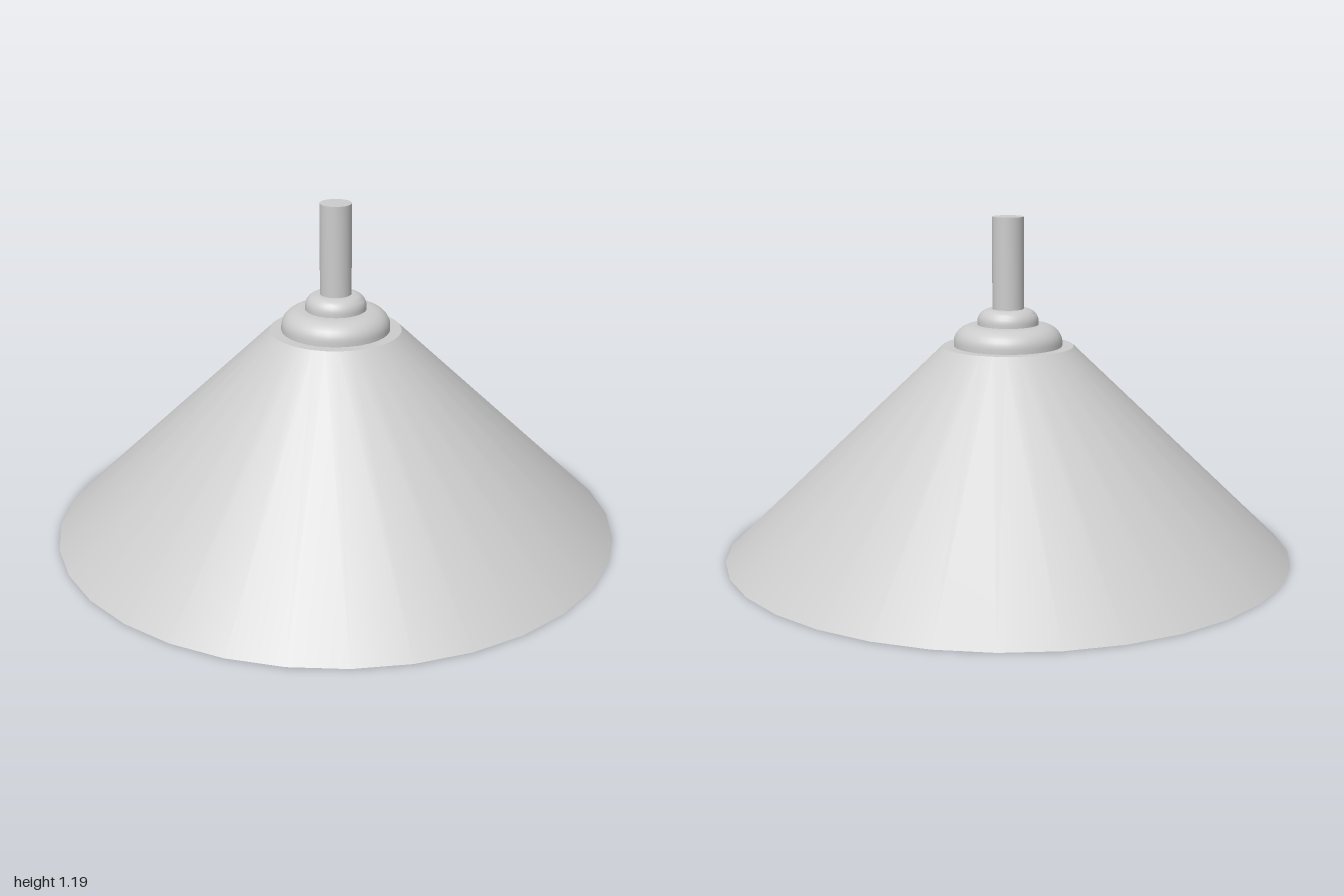
import * as THREE from 'three';
import { toCreasedNormals } from 'three/addons/utils/BufferGeometryUtils.js';

const material = new THREE.MeshStandardMaterial({ color: 0xcccccc });

// Turned part from a closed [radius, height] profile, listed from the lower axis outwards and up
function turned(name, profile, sides = 32) {
  const points = profile.map(([r, y]) => new THREE.Vector2(r, y));
  const geometry = toCreasedNormals(new THREE.LatheGeometry(points, sides), 0.6);
  const mesh = new THREE.Mesh(geometry, material);
  mesh.name = name;
  return mesh;
}

// Flat-topped disc with a rounded shoulder
function roundedCap(name, radius, bottom, top, shoulder) {
  const profile = [[0, bottom], [radius, bottom]];
  const start = bottom + (top - bottom) * 0.2;
  for (let i = 0; i <= 8; i++) {
    const a = (i / 8) * Math.PI / 2;
    profile.push([radius - shoulder * (1 - Math.cos(a)), start + (top - start) * Math.sin(a)]);
  }
  profile.push([0, top]);
  return turned(name, profile);
}

const cylinder = (name, r, bottom, top) =>
  turned(name, [[0, bottom], [r, bottom], [r, top], [0, top]]);

export function createModel() {
  const lamp = new THREE.Group();
  lamp.name = 'pendantLamp';

  // Thick conical shade, hollow underneath
  lamp.add(turned('shade', [[0, 0.65], [0.2, 0.65], [0.88, 0], [1, 0], [0.23, 0.74], [0, 0.74]]));

  // Stepped caps and the hanging rod
  lamp.add(roundedCap('lowerCap', 0.19, 0.74, 0.815, 0.07));
  lamp.add(roundedCap('upperCap', 0.107, 0.815, 0.87, 0.045));
  lamp.add(cylinder('rod', 0.055, 0.87, 1.19));

  // Fitting inside the shade
  lamp.add(cylinder('socketBase', 0.2, 0.43, 0.66));
  lamp.add(cylinder('socket', 0.08, 0.3, 0.43));

  // Pear-shaped bulb: a sphere easing into a narrow neck
  const bulb = [];
  for (let i = 0; i <= 14; i++) {
    const a = (i / 14) * Math.PI * 0.72;
    bulb.push([0.11 * Math.sin(a), 0.115 - 0.11 * Math.cos(a)]);
  }
  bulb.push([0.064, 0.215], [0.05, 0.24], [0.04, 0.265], [0.036, 0.31]);
  lamp.add(turned('bulb', bulb));

  return lamp;
}
